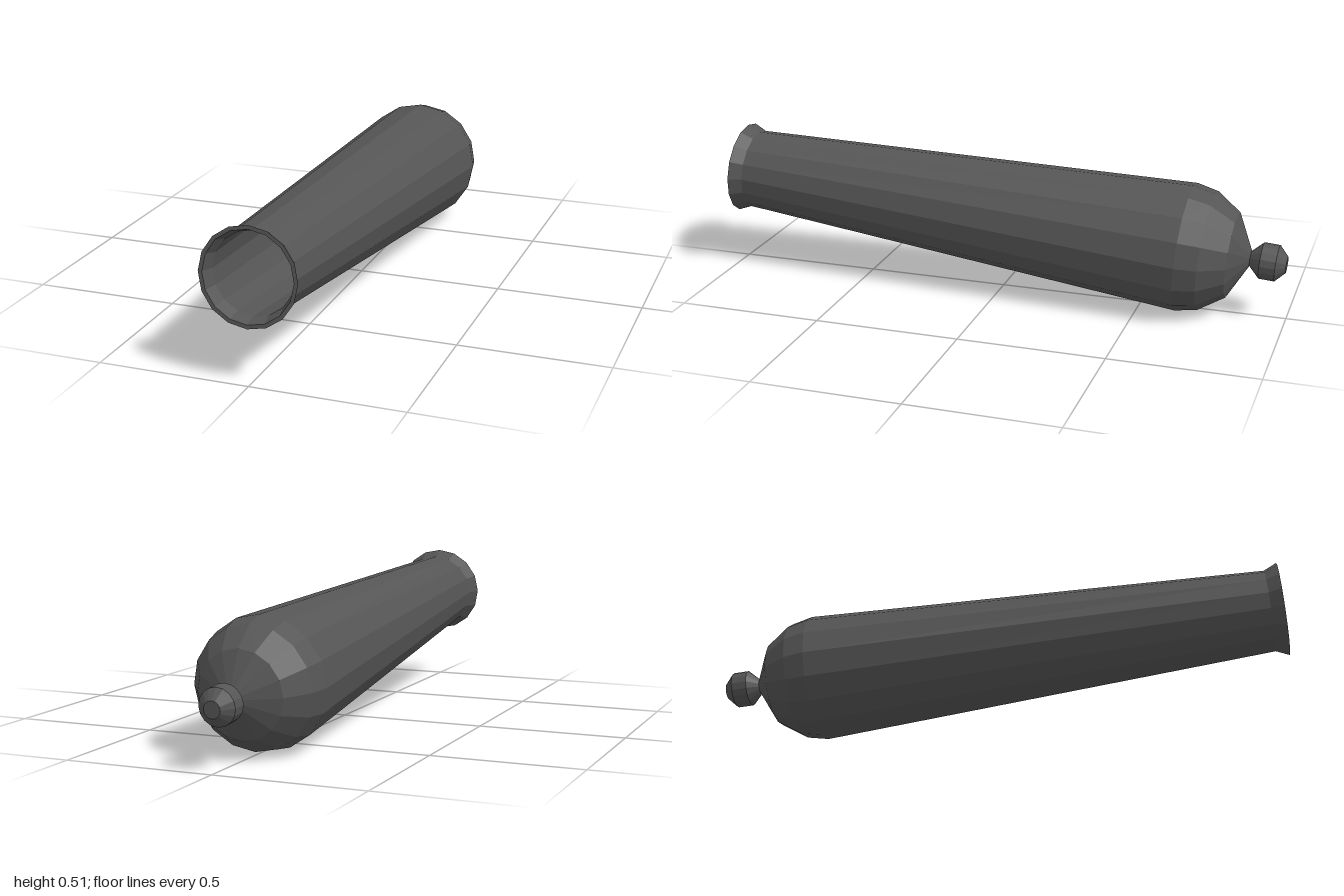
import * as THREE from 'three';

const SIDES = 16;
const TILT = 0.077; // muzzle raised slightly

export function createModel() {
  const model = new THREE.Group();
  model.name = 'cannonBarrel';

  const iron = new THREE.MeshStandardMaterial({ color: 0x555555, flatShading: true });

  // The barrel axis: the muzzle is the origin and +y points out of it
  const barrel = new THREE.Group();
  barrel.name = 'barrel';
  barrel.position.set(0, 0.347, 0.987);
  barrel.rotation.x = Math.PI / 2 - TILT;
  model.add(barrel);

  // Turned part from [radius, distance behind the muzzle] pairs
  const turn = (name, profile) => {
    const points = profile.map(([r, d]) => new THREE.Vector2(r, -d));
    const mesh = new THREE.Mesh(new THREE.LatheGeometry(points, SIDES), iron);
    mesh.name = name;
    barrel.add(mesh);
  };

  // Knob at the rear end
  turn('rearKnob', [[0, 1.985], [0.028, 1.985], [0.062, 1.953], [0.062, 1.9], [0.026, 1.863]]);

  // Rounded breech and tapering outer wall
  turn('outerWall', [[0.026, 1.863], [0.146, 1.802], [0.204, 1.717], [0.22, 1.642], [0.14, 0.045]]);

  // Flared lip with its front ring
  turn('muzzleLip', [[0.14, 0.045], [0.16, 0], [0.147, 0], [0.133, 0.045]]);

  // Hollow inside, ending in a flat floor
  turn('bore', [[0.133, 0.045], [0.2, 1.642], [0.186, 1.71], [0.13, 1.79], [0, 1.79]]);

  return model;
}
